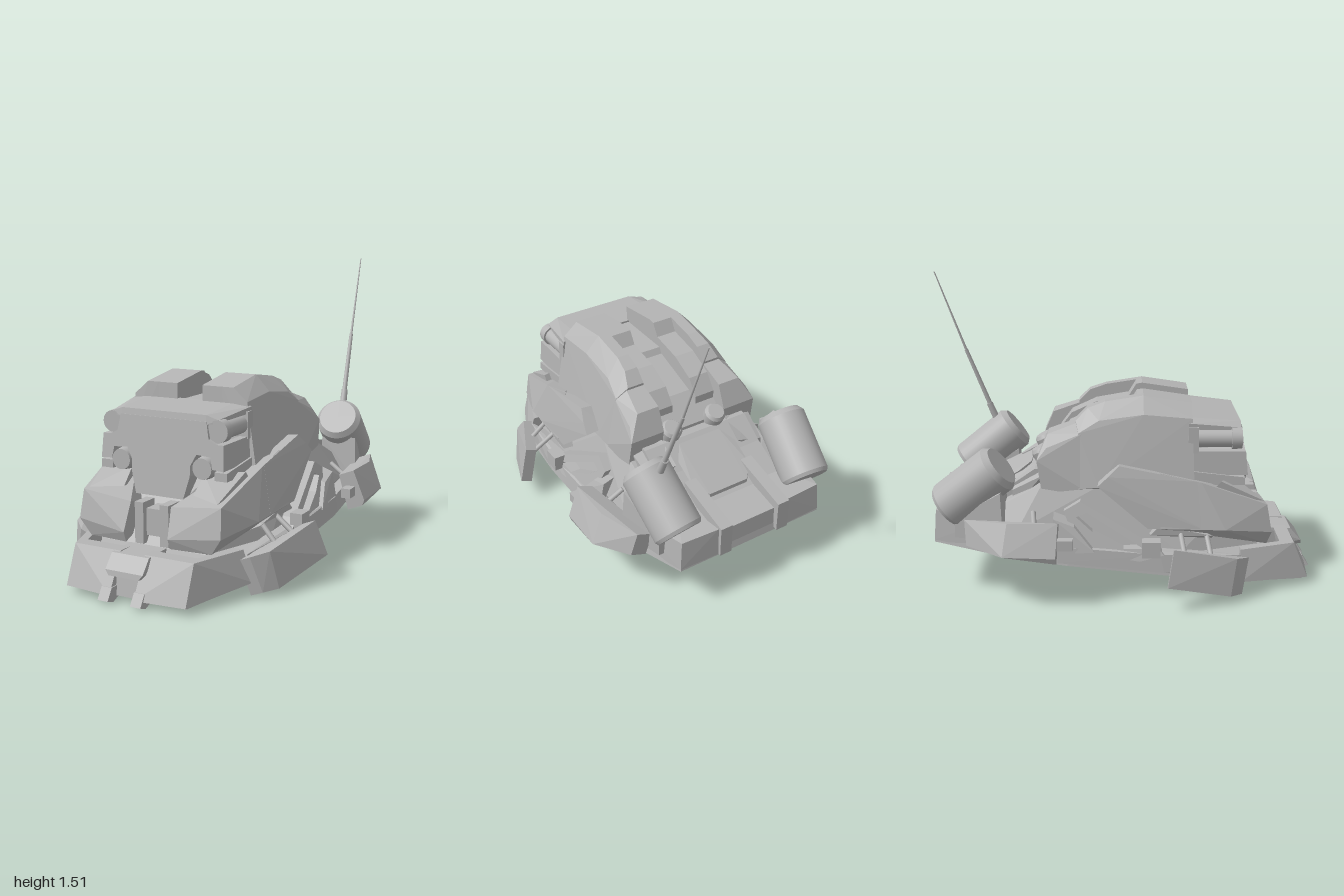
import * as THREE from 'three';
import { ConvexGeometry } from 'three/addons/geometries/ConvexGeometry.js';

export function createModel() {
  const root = new THREE.Group();
  const grey = new THREE.MeshStandardMaterial({ color: 0xb4b4b4 });
  grey.name = 'armourGrey';

  const add = (name, geo) => {
    const m = new THREE.Mesh(geo, grey);
    m.name = name;
    root.add(m);
    return m;
  };
  // faceted solid around corner points [x, y, z]
  const solid = (name, pts) => add(name, new ConvexGeometry(pts.map(p => new THREE.Vector3(...p))));
  const flip = pts => pts.map(([x, y, z]) => [-x, y, z]);
  const pair = (name, pts) => { solid(name + 'Left', pts); solid(name + 'Right', flip(pts)); };
  const centred = (name, pts) => solid(name, [...pts, ...flip(pts)]);
  // block between two x values, two y values and two z values
  const block = (x0, x1, y0, y1, z0, z1) => {
    const out = [];
    for (const x of [x0, x1]) for (const y of [y0, y1]) for (const z of [z0, z1]) out.push([x, y, z]);
    return out;
  };
  // side profile [z, y] swept from x0 to x1; lean shifts x as y rises
  const sweep = (name, profile, x0, x1, hole, lean = 0) => {
    const shape = new THREE.Shape(profile.map(p => new THREE.Vector2(...p)));
    if (hole) shape.holes.push(new THREE.Path(hole.map(p => new THREE.Vector2(...p))));
    const g = new THREE.ExtrudeGeometry(shape, { depth: x1 - x0, bevelEnabled: false });
    g.rotateY(-Math.PI / 2).translate(x1, 0, 0);
    const p = g.attributes.position;
    for (let i = 0; i < p.count; i++) p.setX(i, p.getX(i) + lean * (p.getY(i) - 0.2));
    g.computeVertexNormals();
    return add(name, g);
  };
  const sweepPair = (name, profile, x0, x1, hole, lean = 0) => {
    sweep(name + 'Left', profile, x0, x1, hole, lean);
    sweep(name + 'Right', profile, -x1, -x0, hole, -lean);
  };
  // round bar from a to b
  const rod = (name, a, b, ra, rb, seg = 24) => {
    const A = new THREE.Vector3(...a), B = new THREE.Vector3(...b), d = B.clone().sub(A);
    const m = add(name, new THREE.CylinderGeometry(rb, ra, d.length(), seg));
    m.position.copy(A).add(B).multiplyScalar(0.5);
    m.quaternion.setFromUnitVectors(new THREE.Vector3(0, 1, 0), d.normalize());
    return m;
  };

  // lower tub with a flat, sloping underside
  const floorY = z => 0.015 + (1 - z) * 0.128;
  const outline = [[0.31, 0.93], [0.44, 0.63], [0.49, 0.25], [0.52, -0.25], [0.5, -0.55], [0.41, -0.91]];
  centred('tub', outline.flatMap(([x, z]) => [[x, floorY(z), z], [x * 0.97, floorY(z) + 0.085, z * 0.985]]));
  centred('innerHull', [[0.28, 0.2, 0.7], [0.42, 0.2, 0.3], [0.43, 0.24, -0.2], [0.46, 0.33, -0.5], [0.39, 0.38, -0.7],
    [0.36, 0.53, -0.1], [0.36, 0.54, -0.38], [0.36, 0.47, -0.53], [0.28, 0.42, 0.55]]);
  pair('sideRail', [[0.44, 0.1, 0.6], [0.44, 0.2, 0.6], [0.5, 0.13, 0.22], [0.49, 0.22, 0.2], [0.52, 0.19, -0.3],
    [0.51, 0.27, -0.3], [0.4, 0.2, 0.5], [0.4, 0.27, -0.3]]);

  // front bumper
  pair('bumperFront', [0.065, 0.32].flatMap(x => [[x, 0.035, x < 0.1 ? 0.98 : 0.955], [x, 0.03, 0.85], [x, 0.22, 0.88], [x, 0.22, 0.81]]));
  pair('bumperSide', [[0.32, 0.035, 0.955], [0.32, 0.03, 0.85], [0.32, 0.22, 0.88], [0.3, 0.22, 0.81],
    [0.47, 0.07, 0.6], [0.42, 0.22, 0.6], [0.37, 0.22, 0.6], [0.37, 0.08, 0.6]]);
  pair('bumperFoot', [0.06, 0.115].flatMap(x => [[x, 0.015, 1], [x, 0, 0.955], [x, 0.03, 0.88], [x, 0.07, 0.965], [x, 0.07, 0.88]]));
  centred('tongue', [[0.1, 0.215, 0.9], [0.1, 0.15, 0.955], [0.08, 0.125, 0.96], [0.1, 0.22, 0.75], [0.08, 0.1, 0.75]]);
  pair('neckBar', block(0.045, 0.092, 0.21, 0.41, 0.62, 0.72));
  centred('neckBlock', block(0.0, 0.04, 0.25, 0.38, 0.6, 0.7));

  // front cheek armour, undercut along its lower edge
  pair('cheekFront', [[0.12, 0.22, 0.755], [0.33, 0.22, 0.74], [0.12, 0.27, 0.775], [0.385, 0.3, 0.755], [0.33, 0.28, 0.4],
    [0.458, 0.335, 0.52], [0.465, 0.345, 0.2], [0.375, 0.44, 0.73], [0.11, 0.41, 0.725], [0.415, 0.565, 0.4],
    [0.2, 0.49, 0.55], [0.41, 0.61, 0.2], [0.2, 0.3, 0.3]]);
  pair('cheekRear', [[0.46, 0.345, 0.4], [0.465, 0.345, 0.14], [0.45, 0.555, -0.105], [0.44, 0.6, -0.055], [0.42, 0.65, 0],
    [0.415, 0.57, 0.38], [0.3, 0.345, 0.3], [0.32, 0.56, -0.1], [0.32, 0.64, 0]]);
  pair('cheekRidge', [[0.19, 0.46, 0.66], [0.35, 0.45, 0.72], [0.2, 0.54, 0.57], [0.38, 0.56, 0.5], [0.22, 0.45, 0.5], [0.38, 0.5, 0.45]]);
  pair('cheekFoot', [[0.36, 0.26, 0.46], [0.44, 0.3, 0.46], [0.46, 0.36, 0.2], [0.46, 0.31, 0.15], [0.36, 0.3, 0.15], [0.36, 0.36, 0.3]]);

  // inward-leaning open frame and blocks on each flank
  sweepPair('flankFrame', [[0.22, 0.22], [0.17, 0.27], [-0.19, 0.475], [-0.27, 0.43], [-0.2, 0.24], [0.1, 0.19]], 0.435, 0.5,
    [[0.12, 0.25], [-0.16, 0.42], [-0.21, 0.4], [-0.13, 0.33], [0.02, 0.25]], -0.25);
  pair('flankBlock', [[0.42, 0.27, -0.12], [0.51, 0.24, -0.12], [0.42, 0.38, -0.22], [0.48, 0.36, -0.22], [0.51, 0.23, -0.32],
    [0.48, 0.4, -0.32], [0.42, 0.42, -0.32]]);

  // hanging side plates, each with an inner copy of its outline for thickness
  const plate = (name, pts, t) => pair(name, [...pts, ...pts.map(([x, y, z]) => [x - t, y - t * 0.4, z])]);
  plate('frontSidePlate', [[0.47, 0.2, 0.635], [0.52, 0.03, 0.6], [0.54, 0.22, 0.57], [0.575, 0.04, 0.54], [0.63, 0.3, 0.26], [0.685, 0.13, 0.23]], 0.06);
  plate('rearSidePlate', [[0.61, 0.425, -0.29], [0.67, 0.27, -0.3], [0.66, 0.24, -0.3], [0.61, 0.425, -0.53], [0.675, 0.28, -0.55],
    [0.54, 0.42, -0.74], [0.57, 0.3, -0.73]], 0.08);
  for (const s of [-1, 1]) {
    for (const [z, y, x] of [[0.45, 0.2, 0.53], [0.32, 0.22, 0.57], [-0.4, 0.32, 0.58], [-0.58, 0.34, 0.56]]) {
      rod('plateArm', [s * 0.43, y + 0.1, z - 0.02], [s * x, y, z], 0.013, 0.013, 8);
    }
  }
  pair('plateHinge', block(0.57, 0.62, 0.29, 0.34, -0.3, -0.22));
  pair('frontHinge', block(0.47, 0.535, 0.22, 0.3, 0.11, 0.2));

  // turret: outer humps with a lower rear shell, inner strips and central channel
  pair('turretHump', [[0.18, 0.925, 0.36], [0.18, 0.96, 0.12], [0.18, 0.93, -0.07], [0.18, 0.9, -0.155], [0.18, 0.84, -0.215],
    [0.24, 0.925, 0.36], [0.24, 0.96, 0.12], [0.24, 0.93, -0.07], [0.25, 0.9, -0.155], [0.27, 0.84, -0.215],
    [0.315, 0.86, 0.36], [0.315, 0.88, 0.12], [0.315, 0.85, -0.1], [0.33, 0.79, -0.2],
    [0.37, 0.53, 0.37], [0.385, 0.53, -0.1], [0.38, 0.52, -0.2], [0.18, 0.5, -0.2], [0.18, 0.5, 0.36]]);
  pair('turretRearShell', [[0.18, 0.84, -0.18], [0.18, 0.78, -0.353], [0.27, 0.84, -0.18], [0.3, 0.78, -0.353], [0.33, 0.79, -0.18],
    [0.345, 0.72, -0.357], [0.365, 0.66, -0.405], [0.18, 0.66, -0.405], [0.38, 0.52, -0.18], [0.37, 0.495, -0.38],
    [0.18, 0.5, -0.18], [0.18, 0.495, -0.38]]);
  sweepPair('turretStrip', [[0.36, 0.925], [0.12, 0.96], [0.09, 0.955], [0.05, 0.89], [-0.12, 0.86], [-0.25, 0.8], [-0.31, 0.72], [-0.31, 0.5], [0.36, 0.5]], 0.07, 0.185);
  sweep('turretChannel', [[0.4, 0.84], [0.03, 0.84], [0.01, 0.81], [-0.25, 0.73], [-0.38, 0.62], [-0.38, 0.4], [0.4, 0.4]], -0.185, 0.185);

  // head: notched face plate, leaning slightly forward at the foot
  const half = [[0.235, 0.8], [0.25, 0.72], [0.29, 0.7], [0.33, 0.7], [0.335, 0.58], [0.275, 0.585], [0.265, 0.64], [0.19, 0.645],
    [0.16, 0.59], [0.16, 0.54], [0.13, 0.43]];
  const face = new THREE.Shape([...half, ...half.map(([x, y]) => [-x, y]).reverse()].map(p => new THREE.Vector2(...p)));
  const faceGeo = new THREE.ExtrudeGeometry(face, { depth: 0.28, bevelEnabled: false });
  const fp = faceGeo.attributes.position;
  for (let i = 0; i < fp.count; i++) if (fp.getZ(i) > 0.1) fp.setZ(i, 0.28 + (0.83 - fp.getY(i)) * 0.1);
  faceGeo.translate(0, 0, 0.33);
  faceGeo.computeVertexNormals();
  add('headFace', faceGeo);
  centred('headRoof', [[0.23, 0.785, 0.612], [0.23, 0.83, 0.605], [0.29, 0.81, 0.6], [0.24, 0.85, 0.34], [0.33, 0.84, 0.34], [0.33, 0.81, 0.34], [0.29, 0.795, 0.6]]);
  centred('headCore', [[0.3, 0.62, 0.5], [0.33, 0.5, 0.5], [0.25, 0.8, 0.42], [0.34, 0.55, 0.3], [0.12, 0.43, 0.6], [0.2, 0.43, 0.3]]);
  sweepPair('headLowerBand', [[0.62, 0.57], [0.36, 0.6], [0.36, 0.53], [0.62, 0.53]], 0.28, 0.345);
  pair('headRearPillar', block(0.24, 0.335, 0.69, 0.82, 0.34, 0.39));

  // lamps on the face
  for (const s of [-1, 1]) {
    rod('upperLamp', [s * 0.288, 0.757, 0.37], [s * 0.288, 0.757, 0.57], 0.045, 0.045);
    rod('upperLampRim', [s * 0.288, 0.757, 0.555], [s * 0.288, 0.757, 0.605], 0.055, 0.053);
    rod('lowerLamp', [s * 0.222, 0.582, 0.4], [s * 0.222, 0.582, 0.63], 0.05, 0.05);
    rod('lowerLampRim', [s * 0.222, 0.582, 0.59], [s * 0.222, 0.582, 0.635], 0.056, 0.05);
  }

  // rear deck
  sweep('rearDeck', [[-0.3, 0.61], [-0.42, 0.6], [-0.55, 0.51], [-0.73, 0.42], [-0.9, 0.39], [-0.905, 0.27], [-0.3, 0.25]], -0.3, 0.3);
  pair('rearCorner', [[0.2, 0.27, -0.915], [0.2, 0.42, -0.91], [0.41, 0.27, -0.91], [0.4, 0.42, -0.9], [0.48, 0.23, -0.6], [0.47, 0.4, -0.6], [0.25, 0.43, -0.6]]);
  pair('rearRail', [0.135, 0.2].flatMap(x => [[x, 0.27, -0.93], [x, 0.43, -0.93], [x, 0.465, -0.75], [x, 0.5, -0.62], [x, 0.35, -0.62]]));
  centred('deckPlate', [[0.12, 0.59, -0.45], [0.17, 0.545, -0.52], [0.17, 0.48, -0.65], [0.11, 0.45, -0.71], [0.12, 0.54, -0.45], [0.11, 0.4, -0.71]]);
  pair('deckShoulder', [[0.19, 0.62, -0.38], [0.35, 0.58, -0.38], [0.19, 0.54, -0.53], [0.33, 0.5, -0.53], [0.19, 0.45, -0.38], [0.33, 0.4, -0.53]]);

  for (const s of [-1, 1]) {
    rod('deckKnob', [s * 0.13, 0.6, -0.37], [s * 0.13, 0.655, -0.4], 0.054, 0.054, 16);
    rod('deckKnobCap', [s * 0.13, 0.655, -0.4], [s * 0.13, 0.67, -0.408], 0.054, 0.042, 16);

    // tilted canister with chamfered ends
    const a = [s * 0.375, 0.43, -0.845], b = [s * 0.405, 0.65, -0.57];
    const at = t => a.map((v, i) => v + (b[i] - v) * t);
    rod('canister', at(0.05), at(0.92), 0.122, 0.122, 32);
    rod('canisterFrontRim', at(0.92), at(1), 0.122, 0.1, 32);
    rod('canisterRearRim', at(0), at(0.05), 0.112, 0.122, 32);
  }
  pair('canisterMount', [[0.3, 0.3, -0.8], [0.46, 0.3, -0.8], [0.3, 0.4, -0.8], [0.46, 0.4, -0.8],
    [0.3, 0.3, -0.56], [0.52, 0.3, -0.56], [0.32, 0.53, -0.56], [0.51, 0.54, -0.57]]);

  // whip antenna
  rod('antennaBase', [0.387, 0.7, -0.693], [0.383, 0.78, -0.725], 0.019, 0.017, 12);
  rod('antennaLower', [0.383, 0.77, -0.72], [0.37, 1.085, -0.843], 0.013, 0.01, 12);
  rod('antennaUpper', [0.37, 1.08, -0.841], [0.36, 1.51, -0.998], 0.007, 0.003, 8);

  return root;
}
